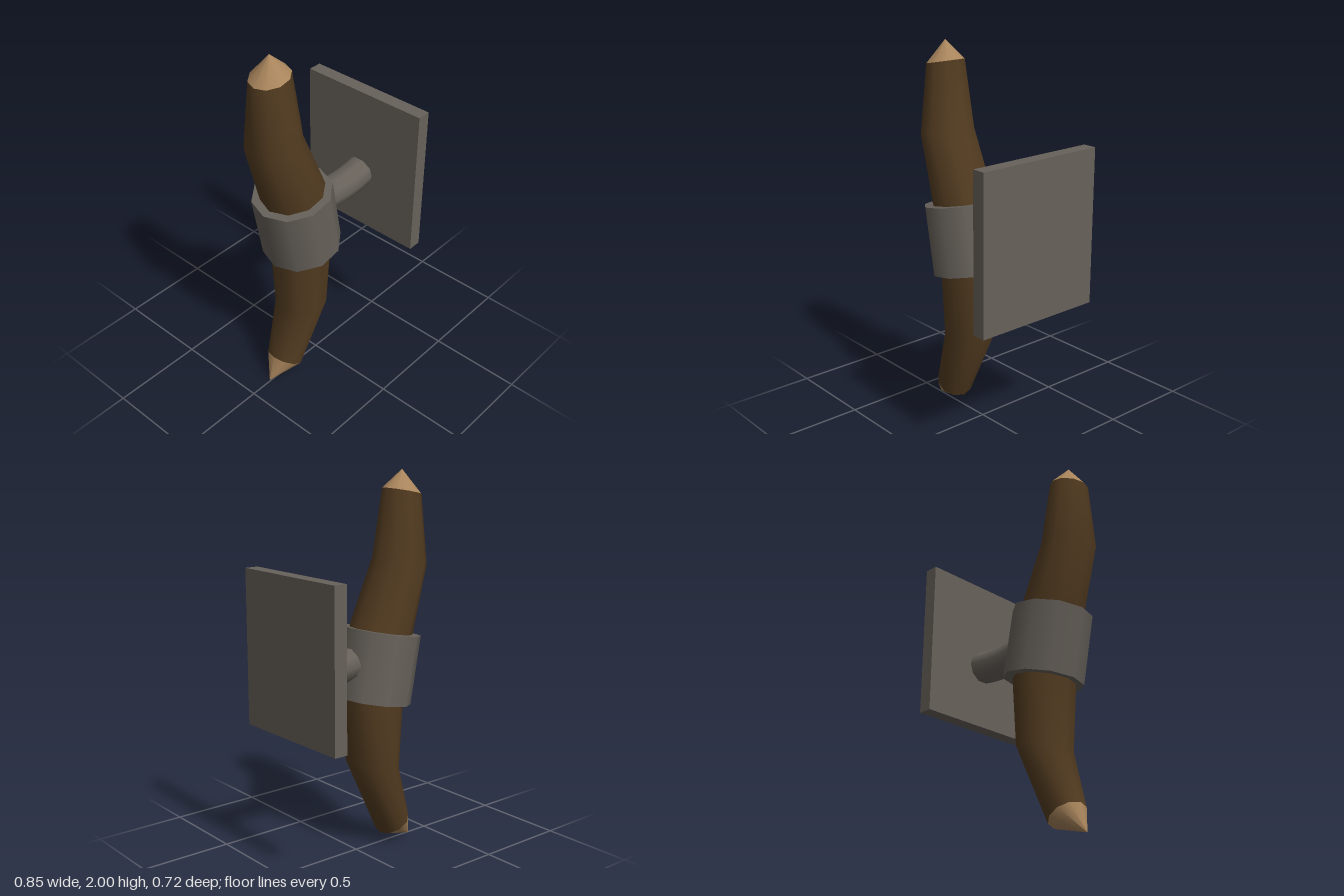
import * as THREE from 'three';

const SIDES = 10;
const Z = -0.006;

// Smooth skin through rings given as [leftX, leftY, rightX, rightY, halfDepth], bottom to top
function loft(rings) {
  const pos = [], index = [];
  for (const [lx, ly, rx, ry, rz] of rings) {
    for (let j = 0; j < SIDES; j++) {
      const a = (j / SIDES) * Math.PI * 2, c = Math.cos(a) / 2;
      pos.push((lx + rx) / 2 + (rx - lx) * c, (ly + ry) / 2 + (ry - ly) * c, Z + rz * Math.sin(a));
    }
  }
  for (let i = 0; i < rings.length - 1; i++) {
    for (let j = 0; j < SIDES; j++) {
      const a = i * SIDES + j, b = i * SIDES + (j + 1) % SIDES;
      index.push(a, a + SIDES, b + SIDES, a, b + SIDES, b);
    }
  }
  const g = new THREE.BufferGeometry();
  g.setAttribute('position', new THREE.Float32BufferAttribute(pos, 3));
  g.setIndex(index);
  g.computeVertexNormals();
  return g;
}

export function createModel() {
  const material = (name, color, side = THREE.FrontSide) => {
    const m = new THREE.MeshStandardMaterial({ color, side });
    m.name = name;
    return m;
  };
  const bark = material('dark horn', 0x523b20);
  const tan = material('pale tip', 0xa9855c);
  const metal = material('grey metal', 0x67615a, THREE.DoubleSide);

  const group = new THREE.Group();
  const add = (name, geometry, mat) => {
    const mesh = new THREE.Mesh(geometry, mat);
    mesh.name = name;
    group.add(mesh);
    return mesh;
  };

  // Curved horn with a pale point at each end
  const low = [-0.333, 0.15, -0.165, 0.055, 0.1];
  const high = [-0.4, 1.87, -0.195, 1.91, 0.1];
  add('horn', loft([
    low,
    [-0.245, 0.435, 0.03, 0.49, 0.147],
    [-0.275, 0.95, 0.065, 1.01, 0.167],
    [-0.335, 1.17, 0.005, 1.21, 0.162],
    [-0.425, 1.51, -0.15, 1.56, 0.148],
    high,
  ]), bark);
  add('lowerTip', loft([[-0.37, 0, -0.37, 0, 0], low]), tan);
  add('upperTip', loft([high, [-0.298, 2, -0.298, 2, 0]]), tan);

  // Collar around the middle, tilted with the horn
  const collar = add('collar',
    new THREE.CylinderGeometry(0.207, 0.207, 0.365, SIDES, 1, false, Math.PI / 2), metal);
  collar.position.set(-0.134, 1.0, Z);
  collar.rotation.z = 0.185;

  // Slightly sagging arm from the collar to the plate
  const path = new THREE.QuadraticBezierCurve3(
    new THREE.Vector3(0.04, 1.037, Z),
    new THREE.Vector3(0.2, 1.002, Z),
    new THREE.Vector3(0.36, 1.04, Z));
  add('arm', new THREE.TubeGeometry(path, 6, 0.085, 10), metal);

  // Wall plate
  add('wallPlate', new THREE.BoxGeometry(0.073, 0.82, 0.72), metal).position.set(0.388, 1.11, 0);

  return group;
}
